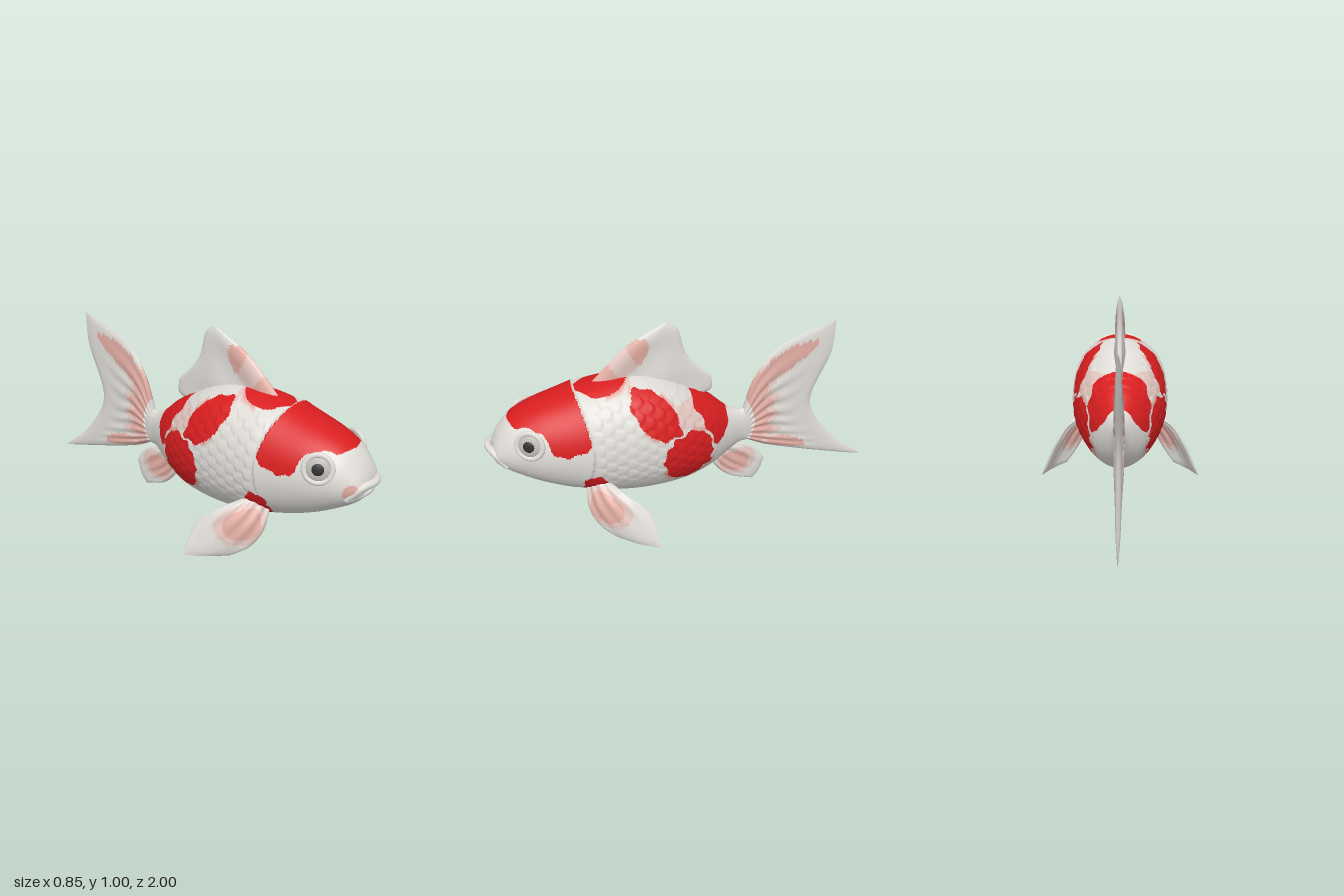
import * as THREE from 'three';

const mat = (name, color) => Object.assign(new THREE.MeshStandardMaterial({ color }), { name });
const V = (p) => new THREE.Vector3(...p);
const { smoothstep } = THREE.MathUtils;

// Mesh from points and triangles, each triangle painted with a material index
function paintedMesh(name, points, tris, mats, paint) {
  const buckets = mats.map(() => []);
  tris.forEach((t) => {
    const c = new THREE.Vector3();
    t.forEach((i) => c.addScaledVector(points[i], 1 / 3));
    buckets[paint(c, t)].push(...t);
  });
  const g = new THREE.BufferGeometry().setFromPoints(points);
  g.setIndex(buckets.flat());
  let start = 0;
  buckets.forEach((b, i) => {
    g.addGroup(start, b.length, i);
    start += b.length;
  });
  g.computeVertexNormals();
  const mesh = new THREE.Mesh(g, mats);
  mesh.name = name;
  return mesh;
}

// Body stations: z, top, bottom, half width, height of the widest line
const STATIONS = [
  [0.965, 0.44, 0.44, 0, 0.44],
  [0.95, 0.5, 0.395, 0.085, 0.44],
  [0.91, 0.565, 0.35, 0.125, 0.45],
  [0.85, 0.622, 0.31, 0.163, 0.46],
  [0.75, 0.668, 0.255, 0.2, 0.46],
  [0.63, 0.702, 0.205, 0.228, 0.45],
  [0.5, 0.732, 0.165, 0.245, 0.44],
  [0.38, 0.75, 0.137, 0.248, 0.43],
  [0.25, 0.75, 0.122, 0.245, 0.43],
  [0.12, 0.715, 0.124, 0.23, 0.42],
  [0, 0.645, 0.14, 0.197, 0.4],
  [-0.12, 0.575, 0.178, 0.138, 0.38],
  [-0.21, 0.5, 0.228, 0.08, 0.37],
  [-0.28, 0.468, 0.268, 0.042, 0.37],
  [-0.35, 0.47, 0.285, 0.022, 0.37],
  [-0.37, 0.37, 0.37, 0, 0.37],
];

// Rear edge of the gill cover
const gillEdge = (y) => 0.505 + (y > 0.47 ? 0.75 : 1.4) * (y - 0.47) ** 2;

// Relief: raised gill cover and overlapping scales with rounded rear edges
function relief(y, z) {
  const behind = gillEdge(y) - z;
  if (behind < 0) return 0.011 * Math.exp(behind / 0.08) * smoothstep(y, 0.2, 0.36);
  const q = y / 0.062;
  let h = 0;
  for (const shift of [0, 0.5]) {
    const fy = q + shift - Math.floor(q + shift) - 0.5;
    const p = z / 0.1 + shift - 1.2 * fy * fy;
    h = Math.max(h, (1 - (p - Math.floor(p))) * Math.sqrt(1 - 4 * fy * fy));
  }
  return 0.008 * h * smoothstep(y, 0.22, 0.34) * (1 - smoothstep(y, 0.66, 0.73))
    * smoothstep(z, -0.2, -0.05) * smoothstep(behind, 0, 0.04);
}

// Coat pattern: 0 white, 1 red, 2 pink, 3 blush
function coat({ x, y, z }) {
  const wobble = 0.006 * Math.sin(z * 70 + y * 31) + 0.005 * Math.sin(y * 83 - z * 40);
  const yy = y + wobble, zz = z + wobble;
  const spot = (cz, cy, rz, ry, tilt = 0) => {
    const a = zz - cz, b = yy - cy - tilt * a;
    return Math.hypot(a / rz, b / ry);
  };
  // Hood over the head, dipping behind the eye
  const hood = 0.485 + 0.115 * smoothstep(z, 0.67, 0.74) + 0.05 * (1 - smoothstep(z, 0.5, 0.57));
  if (z > gillEdge(y) + 0.005 && zz < 0.875 && yy > hood) return 1;
  const crown = y > 0.6 ? Math.hypot(x / 0.115, (zz - 0.425) / 0.122) : 9;
  const saddle = zz < -0.01 - 0.48 * Math.max(0, 0.61 - y) && zz > -0.2
    && yy > 0.365 + 0.9 * Math.max(0, -0.13 - z);
  const d = Math.min(crown, spot(0.19, 0.605, 0.115, 0.1, 0.55), spot(0.03, 0.355, 0.132, 0.147));
  if (saddle || d < 1 || (y > 0.19 && spot(0.5, 0.27, 0.055, 0.085) < 1)) return 1;
  if (d < 1.2 && Math.sin(z * 23 + y * 17) > 0.35) return d < 1.1 ? 2 : 3;
  if (z < 0.09 && z > -0.06 && y > 0.52 && y < 0.63) return 3;
  // Blush beside the right corner of the mouth
  return x < 0 && z > 0.85 && Math.hypot((x + 0.11) / 0.025, (y - 0.44) / 0.035) < 1 ? 2 : 0;
}

function buildBody(mats) {
  const heights = new THREE.CatmullRomCurve3(STATIONS.map((s) => V([s[0], s[1], s[2]])), false, 'catmullrom', 0.5);
  const widths = new THREE.CatmullRomCurve3(STATIONS.map((s) => V([s[0], s[3], s[4]])), false, 'catmullrom', 0.5);
  const N = 280, M = 200, points = [], tris = [];
  for (let i = 0; i <= N; i++) {
    const { x: z, y: top, z: bottom } = heights.getPoint(i / N);
    const { y: w, z: mid } = widths.getPoint(i / N);
    for (let j = 0; j < M; j++) {
      const a = (j / M) * Math.PI * 2, c = Math.cos(a), s = Math.sin(a);
      const y = mid + s * (s > 0 ? top - mid : mid - bottom);
      const r = relief(y, z) * Math.min(1, w / 0.1);
      points.push(V([c * (w + r), y + s * r, z]));
      if (i < N) {
        const p = i * M + j, q = i * M + ((j + 1) % M);
        tris.push([p, p + M, q], [q, p + M, q + M]);
      }
    }
  }
  return paintedMesh('body', points, tris, mats, coat);
}

// Fin: rows of points from root to tip, thickened into a ribbed closed blade
function buildFin(name, rows, rootT, tipT, rays, mats, paint) {
  const curves = rows.map((r) => new THREE.CatmullRomCurve3(r.map(V)));
  const NU = 56, NV = 28, W = NU + 1, points = [], uv = [], tris = [];
  const columns = Array.from({ length: W }, (_, i) =>
    new THREE.CatmullRomCurve3(curves.map((c) => c.getPoint(i / NU))));
  const grid = columns.map((c) => Array.from({ length: NV + 1 }, (_, j) => c.getPoint(j / NV)));
  for (const side of [1, -1]) {
    const base = points.length;
    for (let j = 0; j <= NV; j++) for (let i = 0; i <= NU; i++) {
      const u = i / NU, v = j / NV;
      const du = grid[Math.min(i + 1, NU)][j].clone().sub(grid[Math.max(i - 1, 0)][j]);
      const dv = grid[i][Math.min(j + 1, NV)].clone().sub(grid[i][Math.max(j - 1, 0)]);
      const n = du.cross(dv).normalize();
      const edge = Math.sqrt(Math.max(0, 1 - (2 * u - 1) ** 6)) * (1 - v ** 24);
      const rib = 1 + 0.22 * Math.sin(u * rays * Math.PI * 2) * Math.sin(Math.PI * Math.min(1, v + 0.15));
      const t = (rootT + (tipT - rootT) * v) * edge * rib;
      points.push(grid[i][j].clone().addScaledVector(n, side * t));
      uv.push([u, v]);
      if (i < NU && j < NV) {
        const a = base + j * W + i, b = a + 1, c = a + W, d = c + 1;
        tris.push(...(side > 0 ? [[a, b, c], [b, d, c]] : [[a, c, b], [b, c, d]]));
      }
    }
  }
  return paintedMesh(name, points, tris, mats, (c, t) => paint(...uv[t[0]]));
}

// Oval fin marking: pink core with a blush fringe
const ovalMark = (cu, cv, ru, rv) => (u, v) => {
  const d = Math.hypot((u - cu) / ru, (v - cv) / rv);
  return d < 0.9 ? 2 : d < 1.25 ? 3 : 0;
};

export function createModel() {
  const white = mat('pearl white', 0xdfdcd7);
  const red = mat('scarlet', 0xd81e20);
  const pink = mat('pale pink', 0xe0aca2);
  const blush = mat('blush', 0xe2c6bf);
  const grey = mat('iris grey', 0xbfbcb6);
  const black = mat('pupil black', 0x303032);
  const coats = [white, red, pink, blush];
  const fish = new THREE.Group();
  fish.name = 'fish';
  const flat = (row) => row.map(([z, y]) => [0, y, z]);

  fish.add(buildBody(coats));

  // Dorsal fin
  fish.add(buildFin('dorsalFin', [
    [[0.48, 0.72], [0.3, 0.72], [0.12, 0.68], [0, 0.58]],
    [[0.29, 0.9], [0.18, 0.86], [0.06, 0.76], [-0.13, 0.61]],
    [[0.09, 1.005], [0.04, 0.965], [0, 0.83], [-0.13, 0.68]],
  ].map(flat), 0.027, 0.012, 2, coats, (u, v) => {
    if (Math.hypot((u - 0.1) / 0.24, (v - 0.3) / 0.35) > 1) return 0;
    return Math.sin(v * 13 + u * 9) > 0 ? 2 : 3;
  }));

  // Tail fin
  fish.add(buildFin('tailFin', [
    [[-0.3, 0.46], [-0.31, 0.42], [-0.32, 0.37], [-0.31, 0.33], [-0.3, 0.29]],
    [[-0.36, 0.65], [-0.42, 0.55], [-0.45, 0.42], [-0.43, 0.3], [-0.42, 0.23]],
    [[-0.47, 0.79], [-0.55, 0.62], [-0.55, 0.41], [-0.6, 0.26], [-0.62, 0.165]],
    [[-0.775, 0.908], [-0.765, 0.74], [-0.67, 0.45], [-0.8, 0.23], [-1, 0.06]],
  ].map(flat), 0.024, 0.013, 9, coats, (u, v) => {
    const root = v - 0.06 * Math.sin(u * 40);
    const upper = Math.hypot((u - 0.11) / 0.075, (v - 0.55) / 0.34) < 1;
    const lower = Math.hypot((u - 0.86) / 0.1, (v - 0.52) / 0.19) < 1;
    if (upper || lower || (v > 0.1 && root < 0.32)) return 2;
    return v > 0.1 && root < 0.42 ? 3 : 0;
  }));

  // Anal fin
  fish.add(buildFin('analFin', [
    [[-0.12, 0.21], [-0.17, 0.24], [-0.24, 0.28]],
    [[-0.165, 0.13], [-0.23, 0.17], [-0.35, 0.235]],
    [[-0.24, 0.06], [-0.32, 0.11], [-0.405, 0.18]],
    [[-0.37, 0.015], [-0.405, 0.06], [-0.43, 0.14]],
  ].map(flat), 0.018, 0.01, 4, coats, ovalMark(0.48, 0.4, 0.38, 0.28)));

  for (const [side, s] of [['left', 1], ['right', -1]]) {
    // Pectoral fin
    fish.add(buildFin(side + 'PectoralFin', [
      [[0.13, 0.26, 0.53], [0.17, 0.285, 0.49], [0.19, 0.29, 0.44]],
      [[0.2, 0.15, 0.54], [0.26, 0.21, 0.46], [0.29, 0.25, 0.36]],
      [[0.25, 0.07, 0.5], [0.32, 0.12, 0.4], [0.35, 0.17, 0.27]],
      [[0.3, 0.015, 0.42], [0.37, 0.01, 0.33], [0.425, 0.006, 0.23]],
    ].map((row) => row.map(([x, y, z]) => [s * x, y, z])), 0.02, 0.009, 4, coats,
    ovalMark(0.4, 0.38, 0.36, 0.27)));

    // Eye: low socket rim, iris and pupil
    const eye = new THREE.Group();
    eye.name = side + 'Eye';
    const add = (name, geometry, material, z, depth) => {
      const m = new THREE.Mesh(geometry, material);
      m.name = name;
      m.position.z = z;
      m.scale.z = depth;
      eye.add(m);
    };
    add('eyeRim', new THREE.TorusGeometry(0.063, 0.013, 10, 28), white, 0.002, 0.8);
    add('eyeball', new THREE.SphereGeometry(0.058, 24, 16), grey, 0, 0.32);
    add('pupil', new THREE.SphereGeometry(0.029, 20, 12), black, 0.0135, 0.3);
    eye.position.set(s * 0.17, 0.537, 0.79);
    eye.rotation.set(-0.2, s * 1.12, 0, 'YXZ');
    fish.add(eye);
  }

  // Downturned lips
  const lip = (name, path, radius) => {
    const mirrored = [...path.slice(1).reverse().map(([x, y, z]) => [-x, y, z]), ...path];
    const curve = new THREE.CatmullRomCurve3(mirrored.map(V));
    const m = new THREE.Mesh(new THREE.TubeGeometry(curve, 40, radius, 12), white);
    m.name = name;
    fish.add(m);
  };
  lip('upperLip', [[0, 0.466, 0.978], [0.06, 0.458, 0.957], [0.092, 0.425, 0.923], [0.103, 0.395, 0.898]], 0.019);
  lip('lowerLip', [[0, 0.415, 0.953], [0.055, 0.408, 0.937], [0.09, 0.39, 0.902]], 0.016);

  return fish;
}
